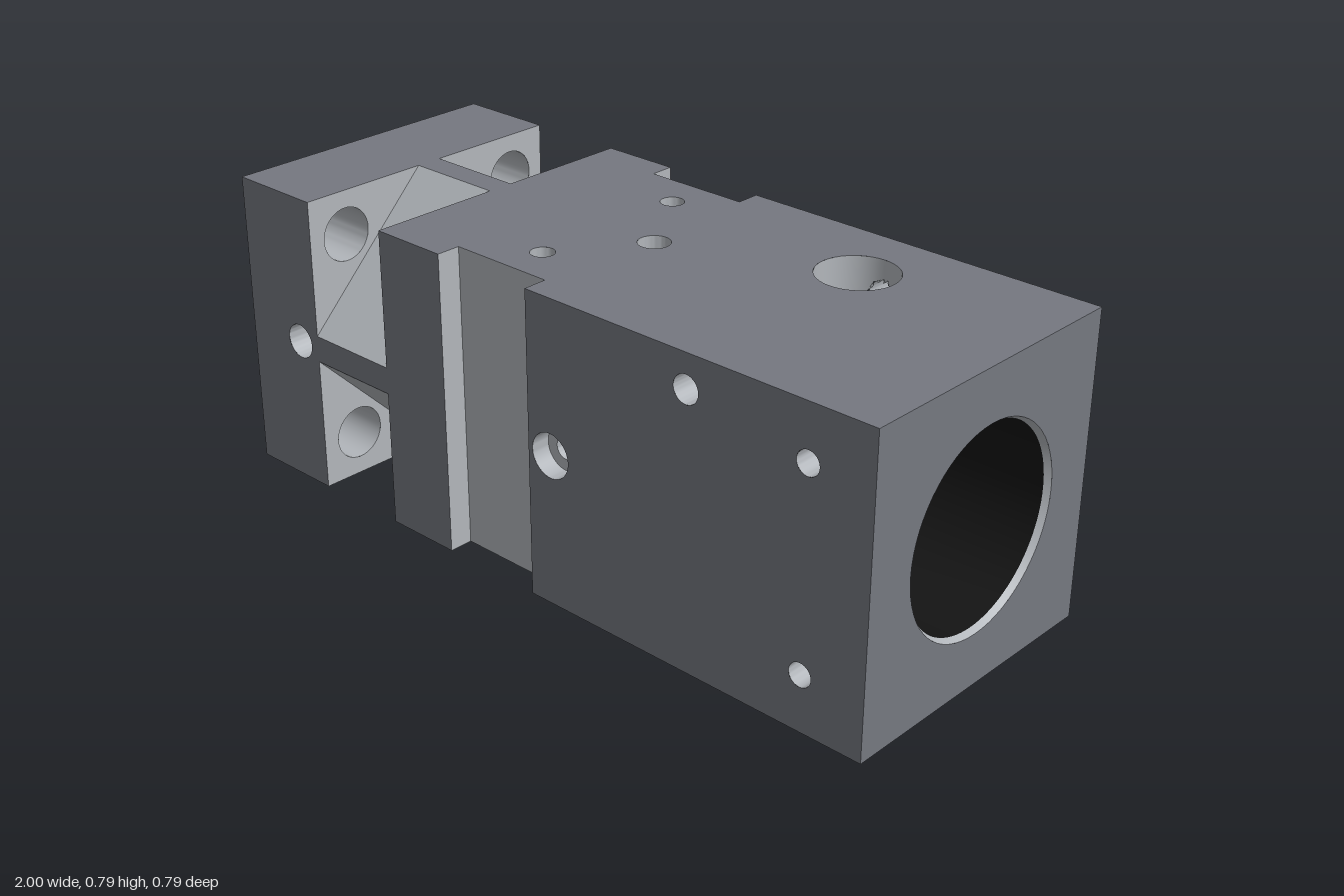
import * as THREE from 'three';
import { toCreasedNormals } from 'three/addons/utils/BufferGeometryUtils.js';

const H = 0.393;          // half height and half depth
const NOTCH = 0.33;       // half depth at the side grooves
const FLAT = 0.035;       // half width of the neck's small flats
const X = { end: -1, flange: -0.74, body: -0.475, g0: -0.265, g1: 0.02, front: 1 };
const BORE = 0.248, SEAL = 0.215, LIP = 0.28;

const dark = new THREE.MeshStandardMaterial({ color: 0x757880 });    // outer skin
const cut = new THREE.MeshStandardMaterial({ color: 0xb2b6bb });     // machined faces
const inner = new THREE.MeshStandardMaterial({ color: 0xb2b6bb, side: THREE.DoubleSide });
const black = new THREE.MeshStandardMaterial({ color: 0x141414, side: THREE.DoubleSide });
const V = (x, y, z) => new THREE.Vector3(x, y, z);
const AX = V(1, 0, 0), AZ = V(0, 0, 1);

export function createModel() {
  const model = new THREE.Group();
  model.name = 'machinedBlock';
  const block = new THREE.Group();
  block.name = 'block';
  block.position.y = H;   // everything below is built around the bore axis
  model.add(block);

  const add = (name, geometry, material) => {
    const mesh = new THREE.Mesh(geometry, material);
    mesh.name = name;
    block.add(mesh);
  };

  // Flat face: 2D outline with round holes [u, v, r], laid on the plane with normal n at distance d
  const face = (name, material, u, n, d, outline, holes = []) => {
    const shape = new THREE.Shape(outline.map(([a, b]) => new THREE.Vector2(a, b)));
    for (const [a, b, r] of holes) shape.holes.push(new THREE.Path().absarc(a, b, r, 0, Math.PI * 2, true));
    const v = n.clone().cross(u);
    const m = new THREE.Matrix4().makeBasis(u, v, n).setPosition(n.clone().multiplyScalar(d));
    add(name, new THREE.ShapeGeometry(shape, 32).applyMatrix4(m), material);
  };
  const rect = (a, b, c, d) => [[a, c], [b, c], [b, d], [a, d]];

  // Turned cavity: profile of [radius, depth] from origin along dir, open where opening(centroid) is true
  const cavity = (name, profile, origin, dir, opening = null, material = inner, segs = 48) => {
    const pts = [];
    profile.forEach(([r, d], i) => {
      if (i && opening) {
        const [r0, d0] = profile[i - 1];
        const n = Math.ceil(Math.hypot(r - r0, d - d0) / 0.012);
        for (let k = 1; k < n; k++) pts.push(new THREE.Vector2(r0 + (r - r0) * k / n, d0 + (d - d0) * k / n));
      }
      pts.push(new THREE.Vector2(r, d));
    });
    const q = new THREE.Quaternion().setFromUnitVectors(V(0, 1, 0), dir);
    const geo = new THREE.LatheGeometry(pts, segs);
    geo.applyMatrix4(new THREE.Matrix4().compose(origin, q, V(1, 1, 1)));
    if (opening) {
      const p = geo.attributes.position, idx = geo.index.array, kept = [];
      for (let i = 0; i < idx.length; i += 3) {
        const c = V(0, 0, 0);
        for (let k = 0; k < 3; k++) c.add(V(p.getX(idx[i + k]), p.getY(idx[i + k]), p.getZ(idx[i + k])));
        if (!opening(c.divideScalar(3))) kept.push(idx[i], idx[i + 1], idx[i + 2]);
      }
      geo.setIndex(kept);
    }
    add(name, toCreasedNormals(geo, 0.5), material);
  };

  // ---- Body ----
  const taps = [[0.83, 0.255, 0.03], [0.83, -0.25, 0.03]];
  const port = [0.5, 0.307, 0.035];
  const pins = [[-0.1, 0.22, 0.03], [-0.1, -0.22, 0.03]];
  const half = [[X.body, H], [X.g0, H], [X.g0, NOTCH], [X.g1, NOTCH], [X.g1, H], [X.front, H]];
  const plan = [...half.map(([x, z]) => [x, -z]), ...half.slice().reverse()];

  face('bodyTop', dark, AX, V(0, 1, 0), H, plan, [...pins, [0.045, 0, 0.04], [0.5, 0.18, 0.1]]);
  face('bodyBottom', dark, AX, V(0, -1, 0), H, plan, [...pins, [0.5, -0.18, 0.05]]);
  for (const s of [1, -1]) {
    const n = V(0, 0, s), side = s > 0 ? 'Front' : 'Back';
    const holes = [...taps, port].map(([x, y, r]) => [x, y * s, r]);
    if (s > 0) holes.push([0.09, 0, 0.057]);
    face('body' + side, dark, AX, n, H, rect(X.g1, X.front, -H, H), holes);
    face('groove' + side, cut, AX, n, NOTCH, rect(X.g0, X.g1, -H, H));
    face('collar' + side, dark, AX, n, H, rect(X.body, X.g0, -H, H));
    const [a, b] = s > 0 ? [NOTCH, H] : [-H, -NOTCH];
    face('grooveWall' + side, cut, AZ, V(1, 0, 0), X.g0, rect(a, b, -H, H));
    face('grooveWall' + side, cut, AZ, V(-1, 0, 0), -X.g1, rect(a, b, -H, H));
  }
  const square = rect(-H, H, -H, H);
  face('bodyEnd', dark, AZ, V(1, 0, 0), X.front, square, [[0, 0, 0.257]]);
  face('collarEnd', cut, AZ, V(-1, 0, 0), -X.body, square, [[0, 0, SEAL]]);

  // ---- Neck: square turned on its corner, with the corners trimmed ----
  const slant = (H - FLAT) / Math.SQRT2, slantDist = (H + FLAT) / Math.SQRT2;
  for (let i = 0; i < 8; i++) {
    const a = i * Math.PI / 4, sloped = i % 2 === 1, w = sloped ? slant : FLAT;
    face(sloped ? 'neckSlope' : 'neckFlat', sloped ? cut : dark, AX, V(0, Math.cos(a), Math.sin(a)),
      sloped ? slantDist : H, rect(X.flange, X.body, -w, w));
  }

  // ---- Flange with four bolt holes ----
  const bolts = [[1, 1], [1, -1], [-1, 1], [-1, -1]].map(([a, b]) => [a * 0.28, b * 0.277, 0.07]);
  face('flangeEnd', dark, AZ, V(-1, 0, 0), -X.end, square, [...bolts, [0, 0, LIP]]);
  face('flangeInside', cut, AZ, V(1, 0, 0), X.flange, square, [...bolts, [0, 0, SEAL]]);
  for (const n of [V(0, 1, 0), V(0, -1, 0), V(0, 0, 1), V(0, 0, -1)])
    face('flangeSide', dark, AX, n, H, rect(X.end, X.flange, -H, H), n.z > 0 ? [[-0.81, 0, 0.045]] : []);
  for (const [z, y, r] of bolts)
    cavity('boltHole', [[r, 0], [r, X.flange - X.end]], V(X.end, y, z), AX);

  // ---- Main bore, opened where cross holes meet it ----
  const inBore = c => Math.hypot(c.y, c.z) < BORE + 0.005;
  const inDrop = c => Math.hypot(c.x - 0.5, c.z + 0.18) < 0.05;
  const inGauge = c => c.z > 0 && Math.hypot(c.x - 0.09, c.y) < 0.028;
  const inSide = c => c.z > 0 && Math.hypot(c.x + 0.81, c.y) < 0.033;
  const inPort = c => Math.hypot(c.x - port[0], c.y - port[1]) < port[2];
  const right = V(X.front, 0, 0), left = V(X.end, 0, 0), back = V(-1, 0, 0);
  cavity('boreChamfer', [[0.257, 0], [BORE, 0.015]], right, back, null, inner, 96);
  cavity('bore', [[BORE, 0.015], [BORE, 1.05], [0.21, 1.05], [0.175, 1.15], [0.137, 1.15], [0.137, 1.3]],
    right, back, c => inDrop(c) || inGauge(c), black, 96);
  cavity('flangeBore', [[LIP, 0], [LIP, 0.08], [SEAL, 0.08], [SEAL, 0.55], [0.137, 0.55], [0.137, 0.7]],
    left, AX, inSide, inner, 96);

  // ---- Cross holes ----
  const down = V(0, -1, 0), up = V(0, 1, 0);
  cavity('sideHole', [[0.045, 0], [0.045, 0.1], [0.033, 0.1], [0.033, 0.19]], V(-0.81, 0, H), V(0, 0, -1),
    c => Math.hypot(c.y, c.z) < SEAL);
  cavity('gaugePort', [[0.057, 0], [0.057, 0.05], [0.028, 0.05], [0.028, 0.16]], V(0.09, 0, H), V(0, 0, -1), inBore);
  cavity('topPort', [[0.1, 0], [0.1, 0.13], [0.05, 0.13], [0.05, 0.31]], V(0.5, H, -0.18), down,
    c => inBore(c) || inPort(c));
  cavity('bottomPort', [[0.05, 0], [0.05, 0.31]], V(0.5, -H, -0.18), up, inBore);
  cavity('topRecess', [[0.04, 0], [0.04, 0.1], [0, 0.1]], V(0.045, H, 0), down);
  const inCounterbore = c => Math.hypot(c.x - 0.5, c.z + 0.18) < 0.1;
  cavity('crossPort', [[port[2], 0], [port[2], 2 * H]], V(port[0], port[1], H), V(0, 0, -1), inCounterbore);

  // Blind tapped holes with dark bottoms
  const blind = (name, r, depth, origin, dir) => {
    cavity(name, [[r, 0], [r, depth]], origin, dir, null, inner, 32);
    cavity(name + 'Bottom', [[r, depth], [0, depth + 0.01]], origin, dir, null, black, 32);
  };
  for (const s of [1, -1]) {
    for (const [x, y, r] of taps) blind('tappedHole', r, 0.23, V(x, y, s * H), V(0, 0, -s));
    for (const [x, z, r] of pins) blind('pinHole', r, 0.19, V(x, s * H, z), V(0, -s, 0));
  }
  return model;
}
